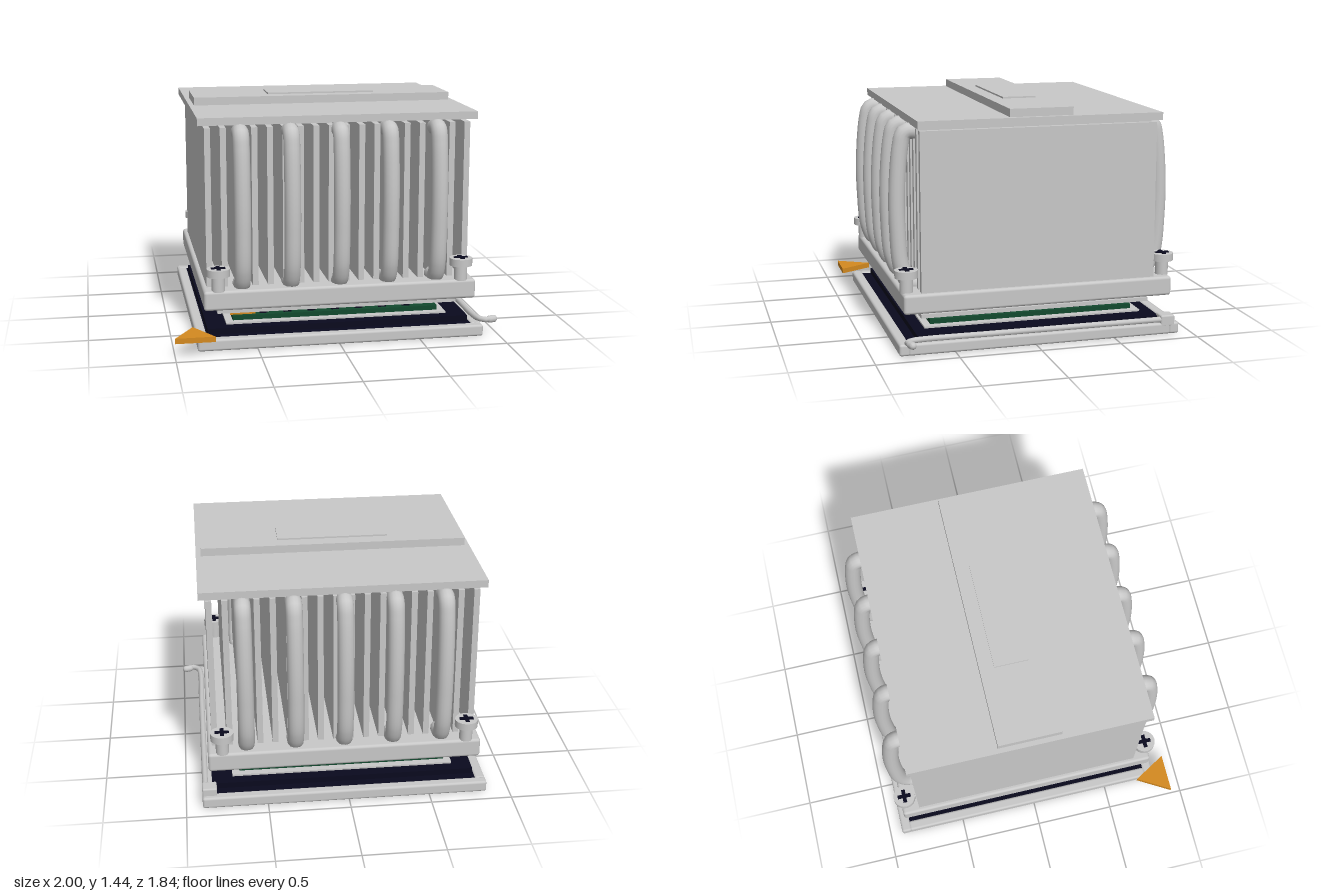
import * as THREE from 'three';
import { RoundedBoxGeometry } from 'three/addons/geometries/RoundedBoxGeometry.js';

const material = (name, color) => {
  const m = new THREE.MeshStandardMaterial({ color });
  m.name = name;
  return m;
};

export function createModel() {
  const silver = material('silver', 0xc8c8c8);
  const dark = material('darkNavy', 0x0a0a1e);
  const green = material('boardGreen', 0x12492e);
  const gold = material('gold', 0xd48a20);

  const model = new THREE.Group();
  model.name = 'processorCooler';
  // Everything is symmetric about the socket centre, slightly off the origin
  const core = new THREE.Group();
  core.name = 'coolerAssembly';
  core.position.set(0.02, 0, -0.04);
  model.add(core);

  const add = (name, geometry, mat, x = 0, y = 0, z = 0, parent = core) => {
    const mesh = new THREE.Mesh(geometry, mat);
    mesh.name = name;
    mesh.position.set(x, y, z);
    parent.add(mesh);
    return mesh;
  };
  // Box given by its size in x and z and its bottom and top heights
  const slab = (name, w, d, y0, y1, mat, x = 0, z = 0, round = 0) => add(name,
    round ? new RoundedBoxGeometry(w, y1 - y0, d, 2, round) : new THREE.BoxGeometry(w, y1 - y0, d),
    mat, x, (y0 + y1) / 2, z);

  // Socket: rounded frame bars around a dark contact bed
  for (const s of [-1, 1]) {
    slab('socketEndBar', 1.76, 0.065, 0, 0.072, silver, 0, s * 0.847, 0.015);
    slab('socketSideBar', 0.065, 1.65, 0, 0.072, silver, s * 0.847, 0, 0.015);
  }
  slab('socketBed', 1.64, 1.64, 0.01, 0.066, dark);
  slab('contactField', 1.62, 1.52, 0.06, 0.102, dark);

  // Retention lever with its hinge block and hooked handle
  slab('leverHinge', 0.09, 0.09, 0.05, 0.12, silver, 0.835, -0.805, 0.01);
  const leverPath = new THREE.CatmullRomCurve3([
    [0.86, -0.8], [0.86, -0.3], [0.86, 0.3], [0.86, 0.74], [0.875, 0.81],
    [0.915, 0.84], [0.945, 0.825], [0.975, 0.815],
  ].map(([x, z]) => new THREE.Vector3(x, 0.092, z)));
  add('lever', new THREE.TubeGeometry(leverPath, 48, 0.018, 10), silver);
  const tip = add('leverTip', new THREE.CapsuleGeometry(0.023, 0.03, 4, 10), silver, 0.948, 0.09, 0.822);
  tip.rotation.set(0, 0.3, Math.PI / 2);

  // Processor: substrate, board, stepped metal lid
  slab('substrate', 1.38, 1.38, 0.102, 0.113, silver);
  slab('circuitBoard', 1.29, 1.29, 0.113, 0.141, green);
  slab('lidBase', 1.12, 1.12, 0.14, 0.182, silver);
  slab('lidFlange', 1.49, 1.44, 0.182, 0.206, silver);
  slab('lidTop', 0.98, 0.98, 0.206, 0.226, silver);
  slab('contactPad', 0.86, 0.86, 0.226, 0.24, silver);

  // Small components along the four board edges
  for (let i = -3; i <= 3; i++) {
    for (const s of [-1, 1]) {
      slab('edgeComponent', 0.05, 0.03, 0.14, 0.158, dark, i * 0.15, s * 0.6);
      slab('edgeComponent', 0.03, 0.05, 0.14, 0.158, dark, s * 0.6, i * 0.15);
    }
  }

  // Triangular corner markers
  const marker = (name, r, h, x, y, z) => {
    add(name, new THREE.CylinderGeometry(r, r, h, 3, 1, false, Math.PI).toNonIndexed(), gold, x, y, z)
      .geometry.computeVertexNormals();
  };
  marker('socketMarker', 0.138, 0.033, -0.9, 0.102, 0.893);
  marker('boardMarker', 0.092, 0.025, -0.58, 0.152, 0.575);

  // Heatsink base and fin stack
  slab('heatsinkBase', 1.67, 1.68, 0.235, 0.355, silver, 0, 0, 0.018);
  for (let i = 0; i < 18; i++) {
    slab('fin', 0.036, 1.46, 0.35, 1.317, silver, (i - 8.5) * 0.093);
  }
  slab('topPlate', 1.7, 1.5, 1.335, 1.381, silver);
  slab('topBar', 1.64, 0.39, 1.381, 1.43, silver);
  slab('topBadge', 0.685, 0.21, 1.43, 1.44, silver);

  // Heat pipes bowing out at front and back
  const pipePoints = [[0.68, 0.36], [0.76, 0.375], [0.805, 0.46], [0.828, 0.7],
    [0.828, 0.95], [0.805, 1.2], [0.785, 1.275], [0.755, 1.293], [0.69, 1.285]];
  for (const s of [-1, 1]) {
    const path = new THREE.CatmullRomCurve3(
      pipePoints.map(([z, y]) => new THREE.Vector3(0, y, s * z)));
    const pipe = new THREE.TubeGeometry(path, 48, 0.05, 16);
    for (let i = -2; i <= 2; i++) {
      add('heatPipe', pipe, silver, i * 0.299, 0, 0);
      for (const [z, y] of [pipePoints[0], pipePoints[8]]) {
        add('heatPipeEnd', new THREE.SphereGeometry(0.049, 16, 10), silver, i * 0.299, y, s * z);
      }
    }
  }

  // Corner screws with cross recesses
  for (const sx of [-1, 1]) {
    for (const sz of [-1, 1]) {
      const screw = new THREE.Group();
      screw.name = 'cornerScrew';
      screw.position.set(sx * 0.746, 0, sz * 0.808);
      core.add(screw);
      add('screwShaft', new THREE.CylinderGeometry(0.04, 0.04, 0.1, 20), silver, 0, 0.4, 0, screw);
      add('screwHead', new THREE.CylinderGeometry(0.07, 0.07, 0.046, 24), silver, 0, 0.466, 0, screw);
      add('screwSlot', new THREE.BoxGeometry(0.085, 0.008, 0.024), dark, 0, 0.491, 0, screw);
      add('screwSlot', new THREE.BoxGeometry(0.024, 0.007, 0.085), dark, 0, 0.491, 0, screw);
    }
  }
  return model;
}
